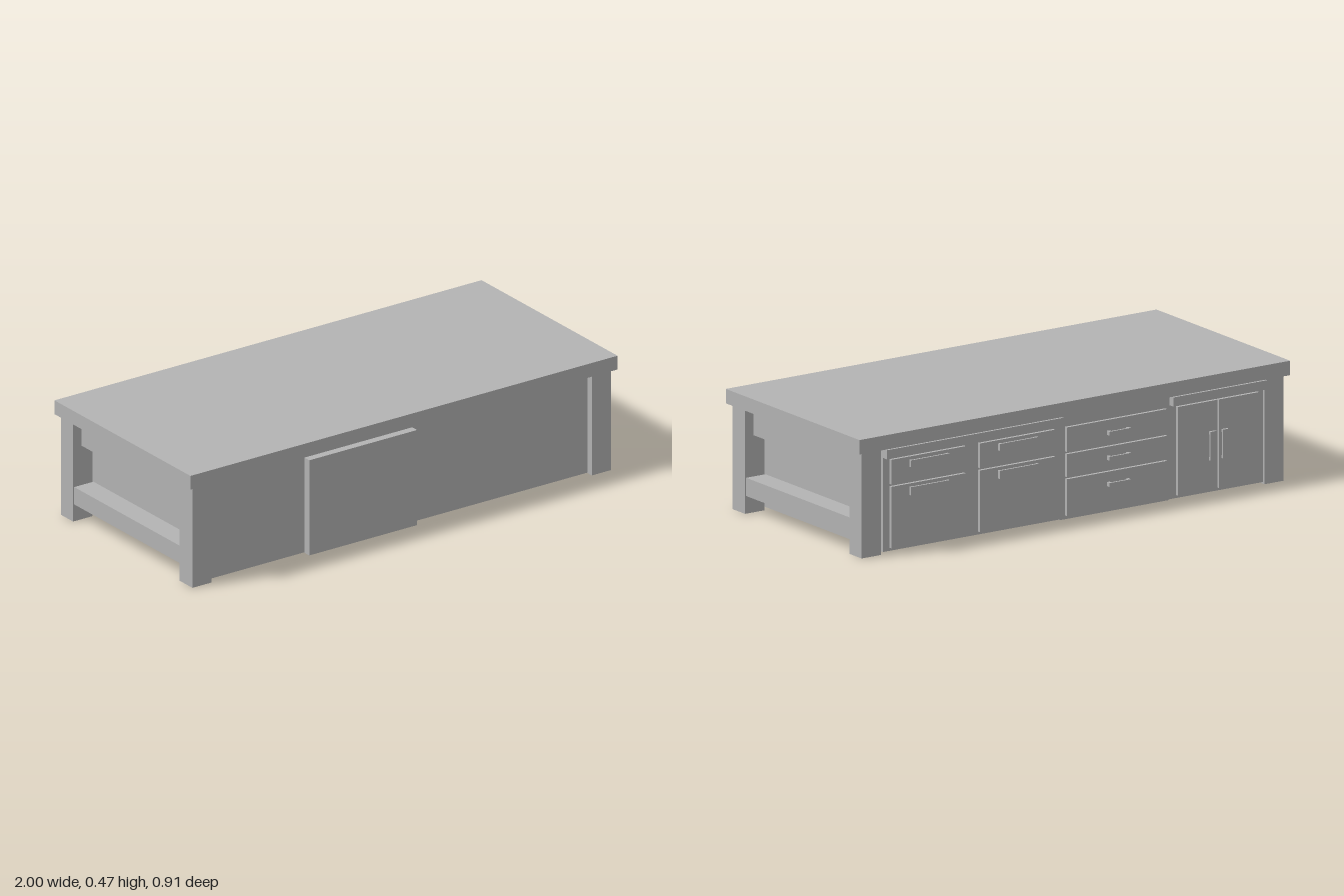
import * as THREE from 'three';

export function createModel() {
  const root = new THREE.Group();
  root.name = 'kitchenIsland';
  const grey = new THREE.MeshStandardMaterial({ color: 0xb3b3b3 });
  grey.name = 'plain grey';

  // box given by its limits along each axis
  function block(name, x0, x1, y0, y1, z0, z1) {
    const mesh = new THREE.Mesh(new THREE.BoxGeometry(x1 - x0, y1 - y0, z1 - z0), grey);
    mesh.position.set((x0 + x1) / 2, (y0 + y1) / 2, (z0 + z1) / 2);
    mesh.name = name;
    root.add(mesh);
  }

  // drawer or door plate on the back, standing on the cabinet face
  const face = (name, x0, x1, y0, y1, z = -0.438) => block(name, x0, x1, y0, y1, z, -0.42);

  // handle: a bar carried by two short posts
  function handle(x0, x1, y0, y1, z) {
    block('handleBar', x0, x1, y0, y1, z, z + 0.008);
    const upright = y1 - y0 > x1 - x0;
    for (const end of [0, 1]) {
      if (upright) {
        const y = end ? y1 - 0.012 : y0;
        block('handlePost', x0, x1, y, y + 0.012, z + 0.008, -0.43);
      } else {
        const x = end ? x1 - 0.012 : x0;
        block('handlePost', x, x + 0.012, y0, y1, z + 0.008, -0.43);
      }
    }
  }

  block('countertop', -1, 1, 0.418, 0.475, -0.44, 0.455);

  // three cabinets side by side, the middle one pushed to the front
  block('doorCabinet', -0.885, -0.445, 0.01, 0.418, -0.425, 0.427);
  block('middleCabinet', -0.445, 0.06, 0.007, 0.402, -0.425, 0.457);
  block('middleTopRail', -0.445, 0.06, 0.402, 0.418, -0.43, 0.42);
  block('drawerCabinet', 0.06, 0.88, 0.01, 0.418, -0.425, 0.427);

  // trim under the countertop at the back
  block('backTrim', 0.06, 0.88, 0.382, 0.418, -0.45, -0.42);
  block('backTrim', -0.885, -0.45, 0.382, 0.418, -0.45, -0.42);

  // legs and end rails
  for (const side of [-1, 1]) {
    const pair = (name, a, b, ...rest) =>
      block(name, Math.min(side * a, side * b), Math.max(side * a, side * b), ...rest);
    pair('frontLeg', 0.89, 0.98, 0, 0.418, 0.355, 0.44);
    pair('backLeg', 0.89, 0.98, 0, 0.418, -0.425, -0.345);
    pair('upperEndRail', 0.878, 0.94, 0.305, 0.418, -0.345, 0.355);
    pair('lowerEndRail', 0.885, 0.975, 0.07, 0.142, -0.345, 0.355);
  }

  // two tall drawer stacks
  for (const [x0, x1] of [[0.505, 0.85], [0.09, 0.44]]) {
    const mid = (x0 + x1) / 2;
    face('topDrawer', x0, x1, 0.275, 0.373);
    face('deepDrawer', x0, x1, 0.022, 0.266);
    handle(mid - 0.09, mid + 0.09, 0.333, 0.36, -0.449);
    handle(mid - 0.09, mid + 0.09, 0.222, 0.254, -0.449);
  }

  // three drawers in the middle cabinet
  for (const [y0, y1, h] of [[0.275, 0.373, 0.323], [0.176, 0.267, 0.224], [0.022, 0.168, 0.12]]) {
    face('middleDrawer', -0.43, 0.035, y0, y1);
    handle(-0.25, -0.15, h - 0.008, h + 0.008, -0.457);
  }

  // pair of doors
  face('door', -0.664, -0.48, 0.022, 0.373);
  face('door', -0.858, -0.67, 0.022, 0.373);
  handle(-0.652, -0.624, 0.14, 0.254, -0.449);
  handle(-0.71, -0.682, 0.14, 0.254, -0.449);

  return root;
}
